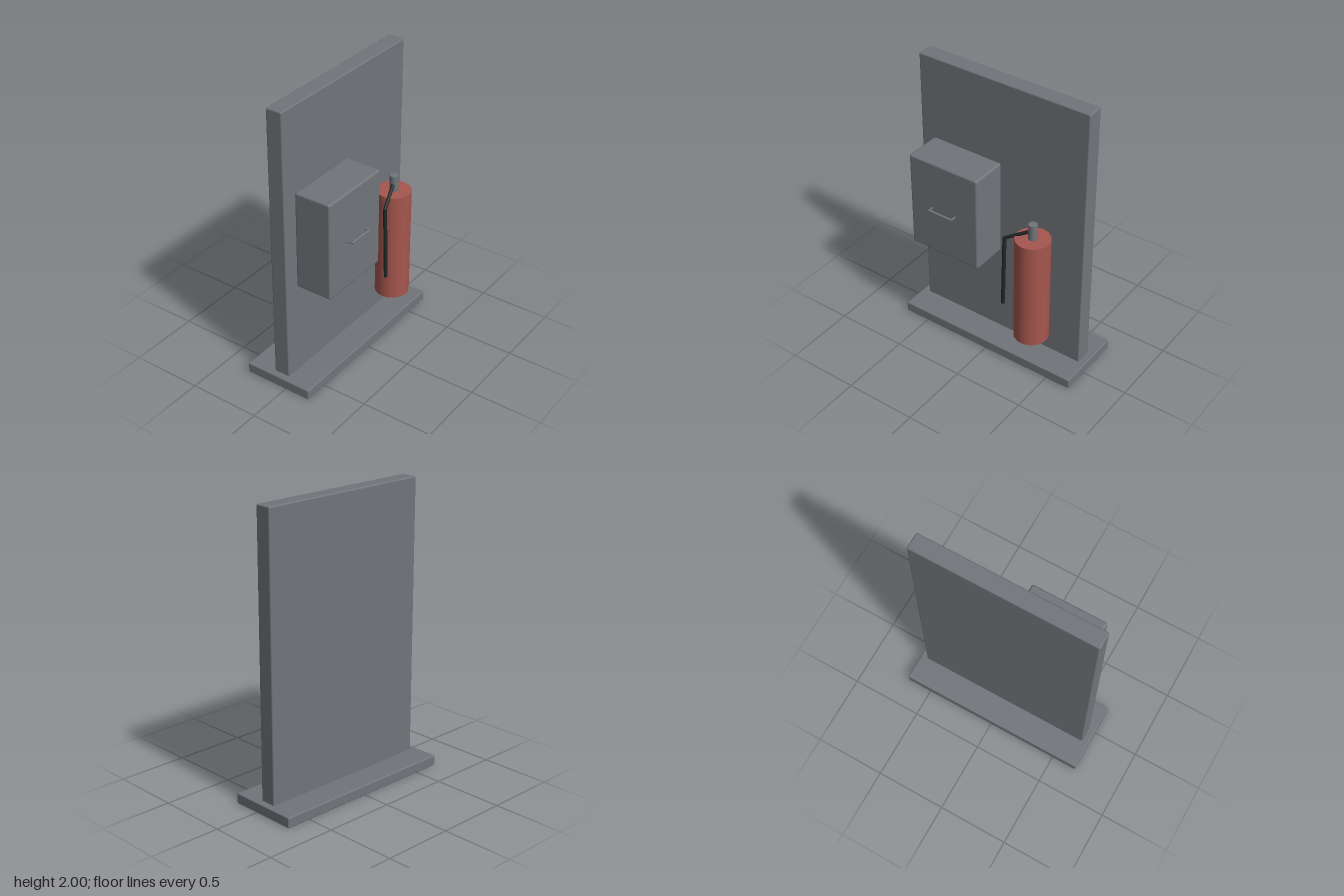
import * as THREE from 'three';
import { RoundedBoxGeometry } from 'three/addons/geometries/RoundedBoxGeometry.js';

export function createModel() {
  const group = new THREE.Group();
  const paint = (name, color) => {
    const m = new THREE.MeshStandardMaterial({ color });
    m.name = name;
    return m;
  };
  const grey = paint('grey metal', 0x71757a);
  const red = paint('red paint', 0xa6564e);
  const black = paint('black rubber', 0x212626);

  const add = (name, geometry, material, x = 0, y = 0, z = 0) => {
    const mesh = new THREE.Mesh(geometry, material);
    mesh.name = name;
    mesh.position.set(x, y, z);
    group.add(mesh);
    return mesh;
  };
  // Box with softened edges, given by its lower and upper corners
  const box = (name, a, b, r) => add(name,
    new RoundedBoxGeometry(b[0] - a[0], b[1] - a[1], b[2] - a[2], 2, r), grey,
    (a[0] + b[0]) / 2, (a[1] + b[1]) / 2, (a[2] + b[2]) / 2);
  // Round rod between two points
  const rod = (name, a, b, r, material) => {
    const from = new THREE.Vector3(...a), to = new THREE.Vector3(...b);
    const dir = to.clone().sub(from);
    const mid = from.clone().add(to).multiplyScalar(0.5);
    const mesh = add(name, new THREE.CylinderGeometry(r, r, dir.length(), 12), material, mid.x, mid.y, mid.z);
    mesh.quaternion.setFromUnitVectors(new THREE.Vector3(0, 1, 0), dir.normalize());
  };

  // Stand
  box('base', [-0.68, 0, -0.307], [0.68, 0.073, 0.188], 0.008);
  box('backPanel', [-0.634, 0.06, -0.119], [0.634, 2, -0.003], 0.01);

  // Wall cabinet with pull handle
  box('cabinet', [-0.532, 0.731, -0.003], [0, 1.42, 0.26], 0.015);
  for (const x of [-0.355, -0.175]) rod('handlePost', [x, 1.077, 0.255], [x, 1.077, 0.297], 0.006, grey);
  rod('handleBar', [-0.355, 1.077, 0.298], [-0.175, 1.077, 0.298], 0.009, grey);

  // Extinguisher
  add('tank', new THREE.CylinderGeometry(0.117, 0.117, 0.79, 32), red, 0.343, 0.67, 0.137);
  add('valve', new THREE.CylinderGeometry(0.03, 0.03, 0.13, 20), grey, 0.343, 1.11, 0.137);

  // Hose: short arm from the valve, then a straight drop
  const elbow = [0.163, 1.023, 0.19];
  rod('hoseArm', [0.325, 1.115, 0.142], elbow, 0.012, black);
  add('hoseElbow', new THREE.SphereGeometry(0.012, 12, 8), black, ...elbow);
  rod('hoseDrop', elbow, [0.163, 0.5, 0.206], 0.013, black);

  return group;
}
